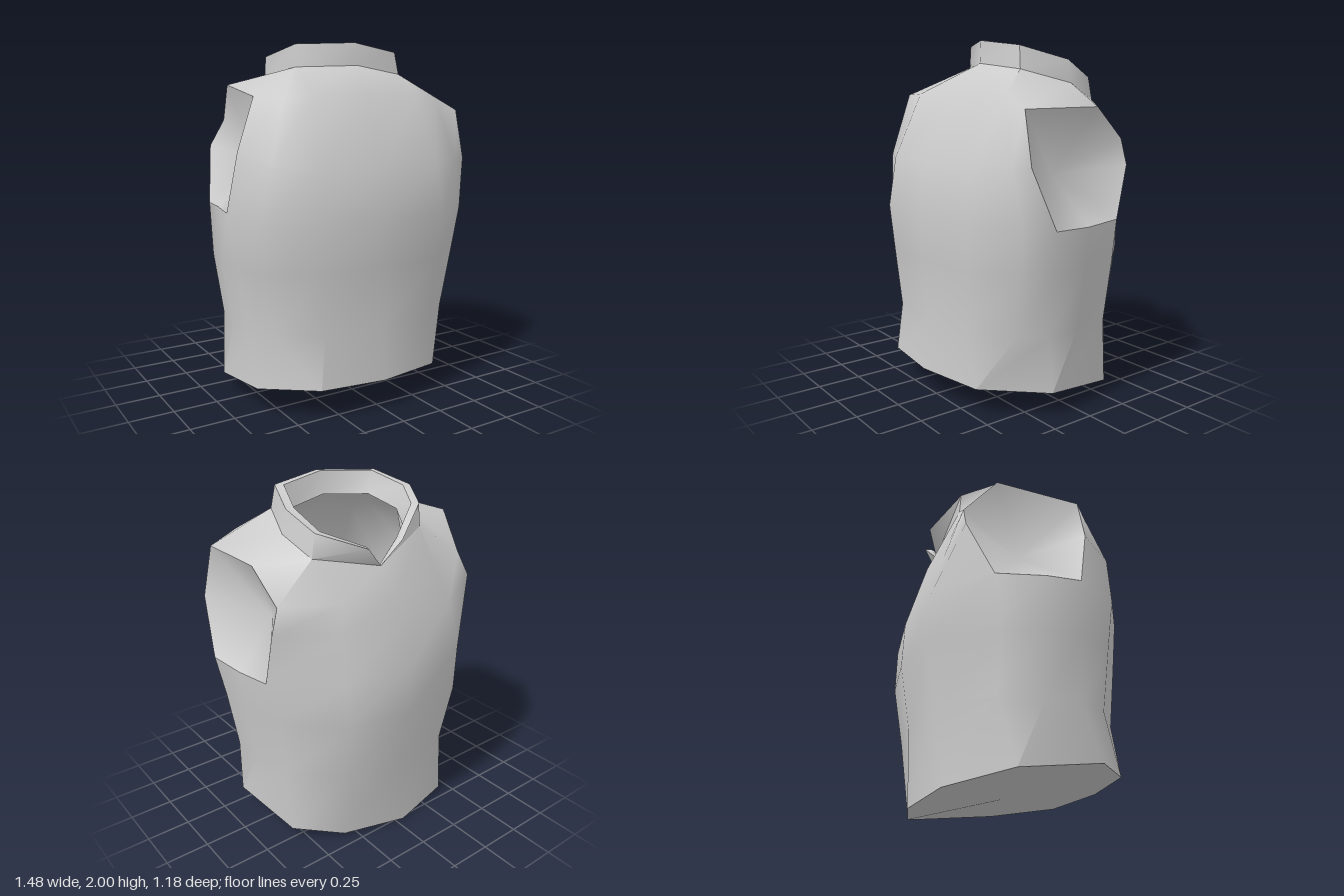
import * as THREE from 'three';
import { toCreasedNormals } from 'three/addons/utils/BufferGeometryUtils.js';

const COLS = 14; // columns run from front centre towards +x and round the back
const material = new THREE.MeshStandardMaterial({ color: 0xcccccc, side: THREE.DoubleSide });

// rows above the hem: y front, y side, y back, half width, z front, z back, z corner, corner width
const ROWS = [
  [0.46, 0.45, 0.45, 0.64, 0.545, -0.53, 0.36, 0.88],
  [0.80, 0.80, 0.80, 0.70, 0.57, -0.59, 0.38, 0.89],
  [1.06, 1.06, 1.06, 0.735, 0.59, -0.583, 0.40, 0.9],
  [1.34, 1.38, 1.32, 0.70, 0.55, -0.51, 0.42, 0.86],
  [1.71, 1.69, 1.46, 0.62, 0.39, -0.47, 0.36, 0.78],
];

// uneven hem outline and the hem point used by each column
const HEM = [
  [0, 0.17, 0.58], [0.4, 0.16, 0.5], [0.65, 0.14, 0.18], [0.585, 0.08, -0.27], [0.33, 0.02, -0.43],
  [-0.05, 0, -0.52], [-0.42, 0.03, -0.45], [-0.64, 0.1, -0.15], [-0.64, 0.16, 0.3], [-0.38, 0.175, 0.54],
];
const HEM_COLUMNS = [0, 1, 1, 2, 2, 3, 4, 5, 6, 7, 7, 8, 9, 9];

// armhole rims: front bottom, round the back, over the top, front middle
const LEFT_RIM = [
  [0.735, 1.03, 0.24], [0.715, 1.025, 0], [0.69, 1.04, -0.23], [0.685, 1.33, -0.3],
  [0.645, 1.47, -0.295], [0.66, 1.64, -0.1], [0.64, 1.63, 0.37], [0.70, 1.35, 0.375],
];
const RIGHT_RIM = [
  [-0.74, 1.1, 0.18], [-0.71, 1.11, 0], [-0.655, 1.1, -0.27], [-0.585, 1.42, -0.41],
  [-0.5, 1.57, -0.4], [-0.55, 1.77, -0.22], [-0.61, 1.7, 0.25], [-0.7, 1.42, 0.24],
];
const RIM_INDEX = [[0, 1, 2], [7, 7, 3], [6, 5, 4]];

// collar's upper outer edge from front centre, open between points 4 and 5
const COLLAR = [
  [0.04, 2.0, 0.2], [0.34, 1.96, 0.165], [0.44, 1.89, -0.09], [0.4, 1.8, -0.28], [0.19, 1.72, -0.445],
  [-0.01, 1.74, -0.47], [-0.24, 1.87, -0.34], [-0.335, 1.93, -0.16], [-0.26, 1.99, 0.06],
];
const NECK_COLUMNS = [0, 1, 1, 1, 2, 3, 3, 4, 6, 6, 7, 8, 8, 8];

function bodyPoint(r, c) {
  const [yF, yS, yB, hw, zF, zB, zE, wE] = ROWS[r];
  const left = c <= 7;
  const k = left ? c : COLS - c; // 0 front centre ... 7 back centre
  if (r >= 2 && k >= 3 && k <= 5) return (left ? LEFT_RIM : RIGHT_RIM)[RIM_INDEX[r - 2][k - 3]];
  const x = (left ? 1 : -1) * hw * [0, 0.54, wE, 1, 0.995, 0.93, 0.55, 0][k];
  const y = [yF, yF, yF * 0.75 + yS * 0.25, yS, yS, yS, yB, yB][k];
  const z = [zF, zF * 0.95, zE, 0.2, 0, -0.24, zB * 0.92, zB][k];
  return [x, y, z];
}

// move a point towards the neck's axis
function inset([x, y, z], f) {
  return [0.05 + (x - 0.05) * f, y, -0.13 + (z + 0.13) * f];
}

// lower outer edge of the collar, both ends meeting at the notch
function collarBase(i) {
  if (i === 4 || i === 5) return [0.07, 1.6, -0.4];
  const [x, y, z] = inset(COLLAR[i], 1.04);
  return [x + 0.01, y - 0.125, z];
}

function geometry(points, index) {
  const g = new THREE.BufferGeometry();
  g.setAttribute('position', new THREE.Float32BufferAttribute(points.flat(), 3));
  g.setIndex(index);
  g.computeVertexNormals();
  return g;
}

function addMesh(group, name, geo) {
  const mesh = new THREE.Mesh(geo, material);
  mesh.name = name;
  group.add(mesh);
}

// triangles from a centre point to a closed loop
function fan(loop, centre) {
  const index = [];
  loop.forEach((_, i) => index.push(0, i + 1, ((i + 1) % loop.length) + 1));
  return geometry([centre, ...loop], index);
}

function quad(index, a, b, c, d) {
  index.push(a, b, c, a, c, d);
}

export function createModel() {
  const model = new THREE.Group();
  model.name = 'vest';

  // Body shell: stacked rings from hem to neck, leaving the armholes open
  const points = HEM_COLUMNS.map((i) => HEM[i]);
  for (let r = 0; r < ROWS.length; r++)
    for (let c = 0; c < COLS; c++) points.push(bodyPoint(r, c));
  points.push(...NECK_COLUMNS.map(collarBase));
  const index = [];
  for (let r = 0; r <= ROWS.length; r++) {
    for (let c = 0; c < COLS; c++) {
      const armhole = (r === 3 || r === 4) && [3, 4, 9, 10].includes(c);
      if (armhole) continue;
      const n = (c + 1) % COLS;
      quad(index, r * COLS + c, r * COLS + n, (r + 1) * COLS + n, (r + 1) * COLS + c);
    }
  }
  addMesh(model, 'body', geometry(points, index));

  // Closed underside
  addMesh(model, 'underside', fan([...HEM].reverse(), [0, 0.1, 0.02]));

  // Sunken armholes
  addMesh(model, 'leftArmhole', fan(LEFT_RIM, [0.47, 1.28, 0.04]));
  addMesh(model, 'rightArmhole', fan([...RIGHT_RIM].reverse(), [-0.44, 1.36, -0.06]));

  // Collar: thick band with a V notch at the back, built from end to end
  const band = [], faces = [];
  const last = COLLAR.length - 1;
  for (let n = 0; n <= last; n++) {
    const i = (n + 5) % COLLAR.length;
    const base = collarBase(i);
    const atNotch = n === 0 || n === last;
    band.push(base, COLLAR[i], inset(COLLAR[i], 0.88), inset(base, atNotch ? 0.95 : 0.76));
    if (n === last) break;
    for (let j = 0; j < 3; j++) {
      const p = n * 4 + j;
      quad(faces, p, p + 4, p + 5, p + 1);
    }
  }
  quad(faces, 0, 1, 2, 3);
  quad(faces, last * 4 + 3, last * 4 + 2, last * 4 + 1, last * 4);
  addMesh(model, 'collar', toCreasedNormals(geometry(band, faces), 0.9));

  return model;
}
